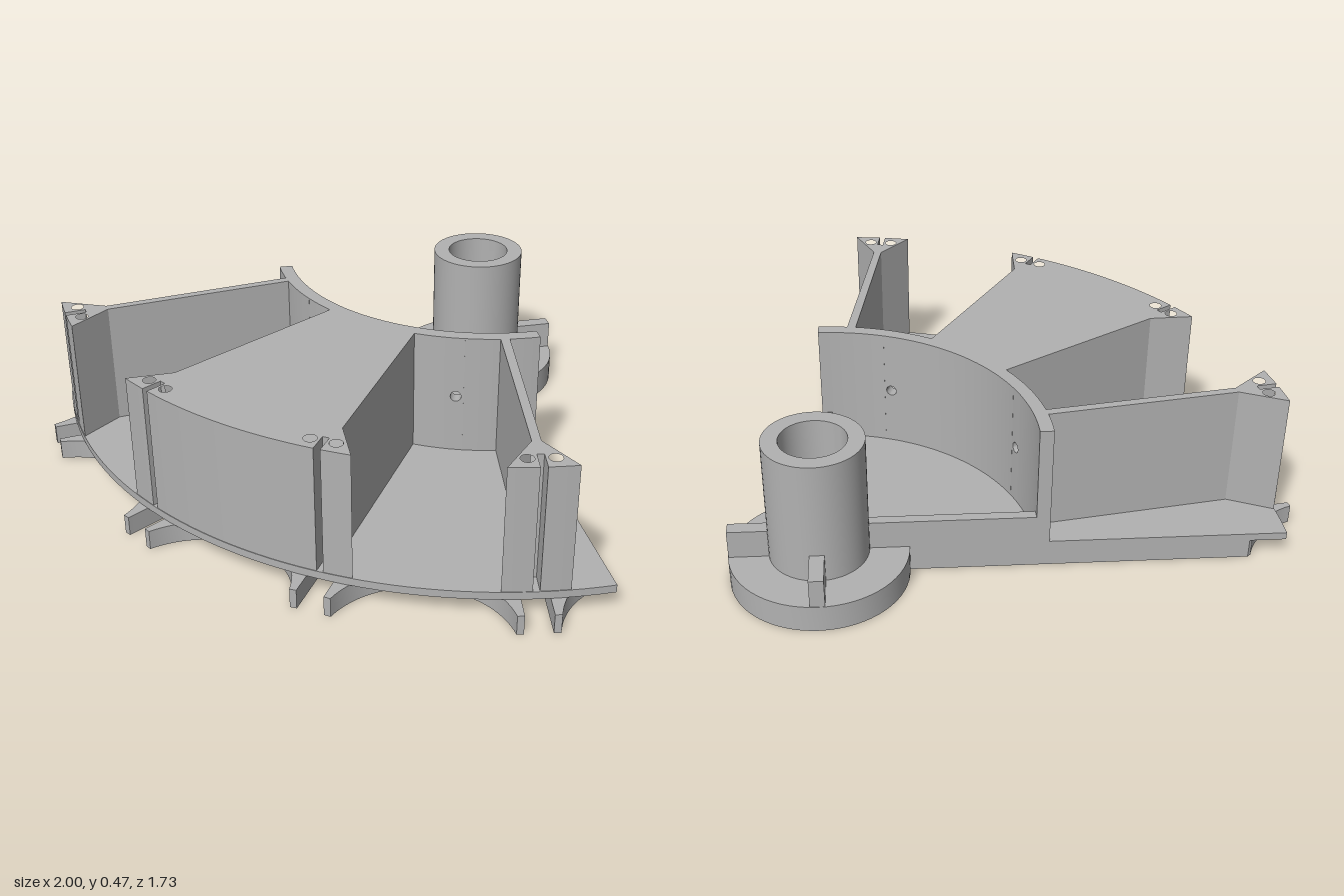
import * as THREE from 'three';
import { toCreasedNormals } from 'three/addons/utils/BufferGeometryUtils.js';

const HUB_Z = -0.605;   // the hub axis is the origin of all polar measurements
const RIM = 1.413, FLOOR = 0.085, TOP = 0.475;
const rad = THREE.MathUtils.degToRad;

// polar point around the hub: angle 0 points to the front
const polar = (r, deg) => new THREE.Vector2(r * Math.sin(rad(deg)), r * Math.cos(rad(deg)));
// point at distance r along a ray, shifted sideways by off
const local = (r, off, deg) => {
  const s = Math.sin(rad(deg)), c = Math.cos(rad(deg));
  return new THREE.Vector2(r * s + off * c, r * c - off * s);
};
const arc = (r, a, b, n = 24) =>
  Array.from({ length: n + 1 }, (_, i) => polar(r, a + ((b - a) * i) / n));
const circle = (p, r) => {
  const path = new THREE.Path();
  path.absarc(p.x, p.y, r, 0, Math.PI * 2, true);
  return path;
};

export function createModel() {
  const model = new THREE.Group();
  const grey = new THREE.MeshStandardMaterial({ color: 0xb2b2b2 });
  grey.name = 'plain grey';

  const add = (name, geometry) => {
    const mesh = new THREE.Mesh(toCreasedNormals(geometry, rad(25)), grey);
    mesh.name = name;
    model.add(mesh);
    return mesh;
  };
  // extrude a plan outline (x, distance in front of the hub) between two heights
  const slab = (name, outline, y0, y1, holes = []) => {
    const shape = outline instanceof THREE.Shape ? outline : new THREE.Shape(outline);
    shape.holes.push(...holes);
    const g = new THREE.ExtrudeGeometry(shape, { depth: y1 - y0, bevelEnabled: false, curveSegments: 32 });
    g.rotateX(Math.PI / 2).translate(0, y1, HUB_Z);
    return add(name, g);
  };
  const ring = (name, inner, outer, y0, y1) => {
    const shape = new THREE.Shape();
    shape.absarc(0, 0, outer, 0, Math.PI * 2, false);
    slab(name, shape, y0, y1, [circle(new THREE.Vector2(), inner)]);
  };

  // hub flange and hollow pivot
  ring('hubFlange', 0.1, 0.27, 0, FLOOR);
  ring('pivotTube', 0.1, 0.15, FLOOR, TOP);

  // scalloped lower layer with slotted finger pairs
  const edge = [];
  const scallop = (c) => {
    for (let i = -16; i <= 16; i++) {
      const t = rad((66.8 * i) / 16);
      const p = local(1.572 - 0.272 * Math.cos(t), 0.272 * Math.sin(t), c);
      if (Math.abs(p.x) < p.y - 0.002) edge.push(p);
    }
  };
  const slot = (a) => {
    const w = 0.04;
    edge.push(local(1.484, -w, a));
    for (let i = 0; i <= 12; i++) {
      const t = (Math.PI * i) / 12;
      edge.push(local(1.17 - w * Math.sin(t), -w * Math.cos(t), a));
    }
    edge.push(local(1.484, w, a));
  };
  edge.push(polar(1.303, -45));
  [-48, -24, 0, 24, 48].forEach((c) => {
    scallop(c);
    if (c < 48) slot(c + 12);
  });
  edge.push(polar(1.303, 45));
  slab('lowerPlate', [...edge, ...arc(0.262, 45, -45)], 0, 0.061, [circle(polar(1.255, 0), 0.035)]);

  // thin floor plate
  slab('floorPlate', [...arc(RIM + 0.002, -45, 45, 48), ...arc(0.262, 45, -45)], 0.061, FLOOR);

  // outer face of a post: rim arc broken by a narrow vertical groove
  const groovedRim = (a, half) => [
    ...arc(RIM, a - half, a - 0.4, 4),
    local(1.35, -0.01, a), local(1.35, 0.01, a),
    ...arc(RIM, a + 0.4, a + half, 4),
  ];
  const pinHoles = (a) => [-1, 1].map((s) => circle(local(1.369, s * 0.037, a), 0.019));

  // solid middle block with flared front corners
  slab('middleBlock', [
    ...arc(0.68, 13, -13, 12), polar(1.29, -13),
    ...groovedRim(-12, 3.85), ...arc(RIM, -8, 8, 16), ...groovedRim(12, 3.85),
    polar(1.29, 13),
  ], FLOOR, TOP, [...pinHoles(-12), ...pinHoles(12)]);

  for (const s of [-1, 1]) {
    const side = s > 0 ? 'left' : 'right';

    // thin dividing wall ending in a forked post
    slab(side + 'DividerPost', [
      local(0.68, 0.014, 36 * s), local(0.68, -0.014, 36 * s), local(1.283, -0.013, 36 * s),
      ...groovedRim(36 * s, 3.85), local(1.283, 0.013, 36 * s),
    ], FLOOR, TOP, pinHoles(36 * s));

    // low wall along the edge, from the pivot to the curved wall
    slab(side + 'EdgeWall', [
      local(0.145, 0, 45 * s), local(0.66, 0, 45 * s),
      local(0.66, -0.032 * s, 45 * s), local(0.145, -0.032 * s, 45 * s),
    ], FLOOR, 0.175);

    // rib at the back of the flange
    slab(side + 'HubRib', [
      local(0.14, -0.022, 135 * s), local(0.268, -0.022, 135 * s),
      local(0.268, 0.022, 135 * s), local(0.14, 0.022, 135 * s),
    ], FLOOR, 0.175);

    // short panel of the curved wall, drilled through
    const w = 0.69 * Math.tan(rad(2)), h = TOP - FLOOR;
    const panel = new THREE.Shape([[-w, 0], [w, 0], [w, h], [-w, h]].map((p) => new THREE.Vector2(...p)));
    panel.holes.push(circle(new THREE.Vector2(0, 0.19), 0.017));
    const g = new THREE.ExtrudeGeometry(panel, { depth: 0.042, bevelEnabled: false });
    g.translate(0, FLOOR, 0.648).rotateY(rad(24 * s)).translate(0, 0, HUB_Z);
    add(side + 'DrilledPanel', g);
  }

  // curved wall between the drilled panels
  [[-45, -22 - 4], [-22, 22], [26, 45]].forEach(([a, b]) =>
    slab('curvedWall', [...arc(0.648, a, b), ...arc(0.69, b, a)], FLOOR, TOP));

  return model;
}
